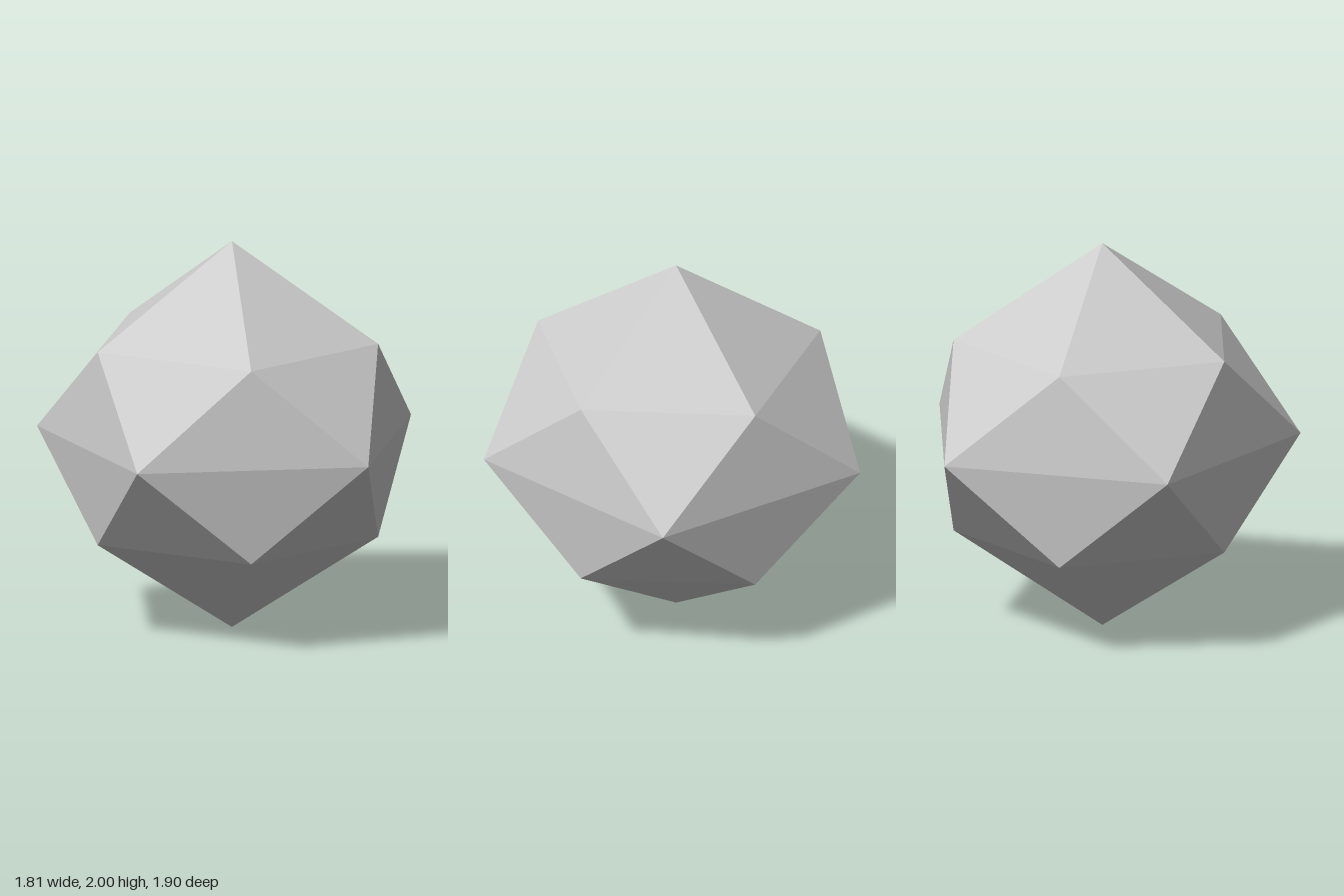
import * as THREE from 'three';

const SIDES = 5;
const CENTRE_X = -0.095;

// Point on a ring around the vertical axis; turn is counted in fifths.
function ringPoint(radius, y, turn) {
  const a = (turn / SIDES) * Math.PI * 2;
  return [CENTRE_X + radius * Math.cos(a), y, radius * Math.sin(a)];
}

// One half of the gem: five kites to the pole and five girdle triangles.
function halfGeometry(poleY, ringY, flip) {
  const positions = [];
  const tri = (a, b, c) => positions.push(...a, ...(flip ? c : b), ...(flip ? b : c));
  const pole = [CENTRE_X, poleY, 0];
  for (let k = 0; k < SIDES; k++) {
    const r0 = ringPoint(0.75, ringY, k - 0.5);
    const r1 = ringPoint(0.75, ringY, k + 0.5);
    const m0 = ringPoint(1, 1, k);
    const m1 = ringPoint(1, 1, k + 1);
    tri(pole, r1, r0); // cap
    tri(r0, r1, m0); // lower part of the kite
    tri(m0, r1, m1); // girdle
  }
  const geometry = new THREE.BufferGeometry();
  geometry.setAttribute('position', new THREE.Float32BufferAttribute(positions, 3));
  geometry.computeVertexNormals();
  return geometry;
}

export function createModel() {
  const grey = new THREE.MeshStandardMaterial({ color: 0xcccccc });
  grey.name = 'light grey';
  grey.flatShading = true;

  const group = new THREE.Group();
  group.name = 'facetedGem';

  const upper = new THREE.Mesh(halfGeometry(2, 1.5, false), grey);
  upper.name = 'upperHalf';
  const lower = new THREE.Mesh(halfGeometry(0, 0.5, true), grey);
  lower.name = 'lowerHalf';
  group.add(upper, lower);
  return group;
}
